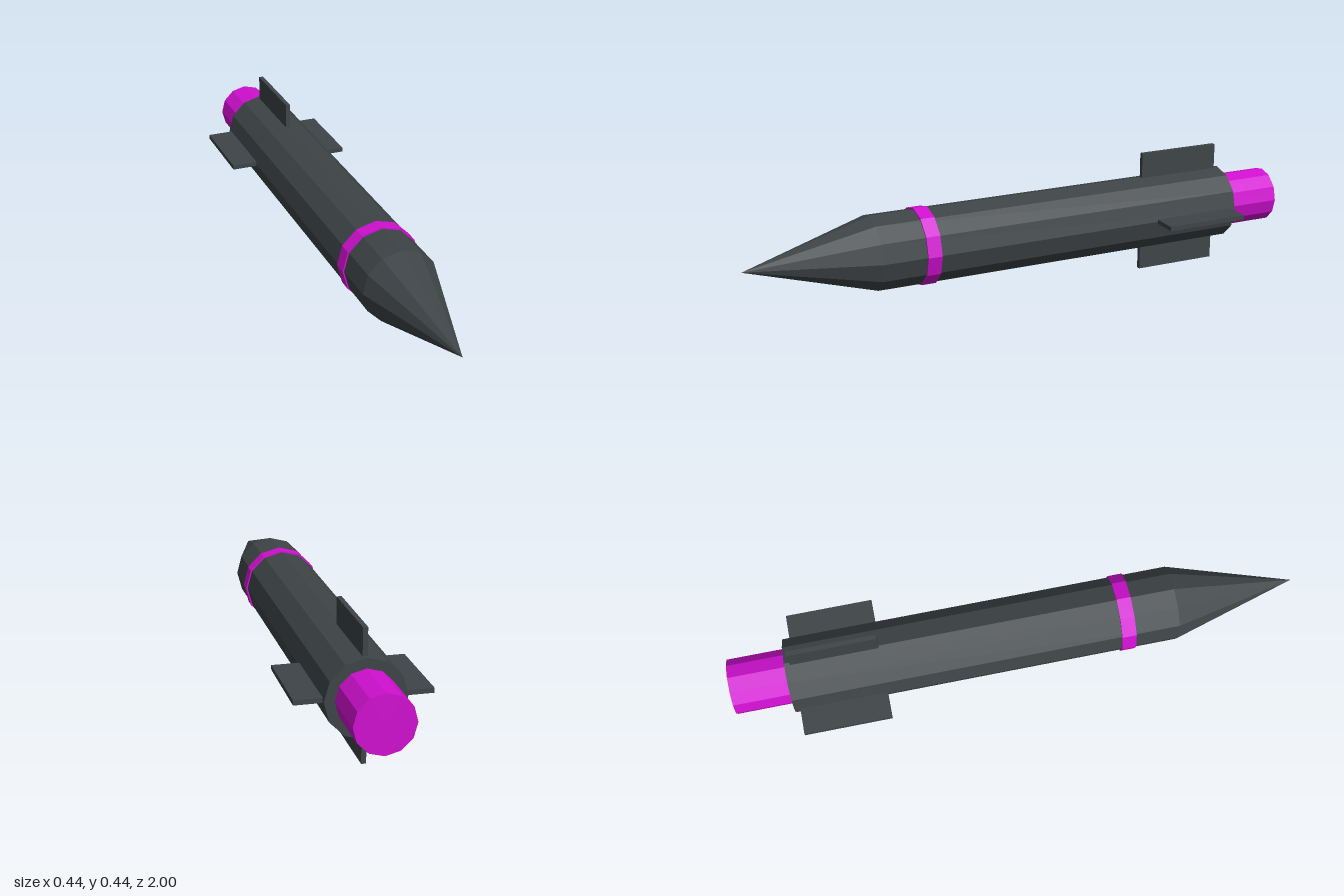
import * as THREE from 'three';

const SIDES = 12;
const AXIS_Y = 0.22;

export function createModel() {
  const group = new THREE.Group();
  group.name = 'rocket';

  const darkGrey = new THREE.MeshStandardMaterial({ color: 0x3e4447, flatShading: true });
  darkGrey.name = 'dark grey';
  const magenta = new THREE.MeshStandardMaterial({ color: 0xd010d0, flatShading: true });
  magenta.name = 'magenta';

  // Twelve-sided section lying along z
  function section(name, rFront, rBack, zFront, zBack, material) {
    const geometry = new THREE.CylinderGeometry(rFront, rBack, zFront - zBack, SIDES);
    geometry.rotateX(Math.PI / 2);
    const mesh = new THREE.Mesh(geometry, material);
    mesh.name = name;
    mesh.position.set(0, AXIS_Y, (zFront + zBack) / 2);
    group.add(mesh);
  }

  section('noseCone', 0, 0.131, 1, 0.56, darkGrey);
  section('body', 0.131, 0.131, 0.56, -0.8, darkGrey);
  section('band', 0.136, 0.136, 0.405, 0.355, magenta);
  section('nozzle', 0.0975, 0.0975, -0.8, -1, magenta);

  // Four tail fins, rooted inside the body
  const finGeometry = new THREE.BoxGeometry(0.12, 0.016, 0.305);
  finGeometry.translate(0.16, 0, 0);
  ['leftFin', 'topFin', 'rightFin', 'bottomFin'].forEach((name, i) => {
    const fin = new THREE.Mesh(finGeometry, darkGrey);
    fin.name = name;
    fin.position.set(0, AXIS_Y, -0.6275);
    fin.rotation.z = (i * Math.PI) / 2;
    group.add(fin);
  });

  return group;
}
